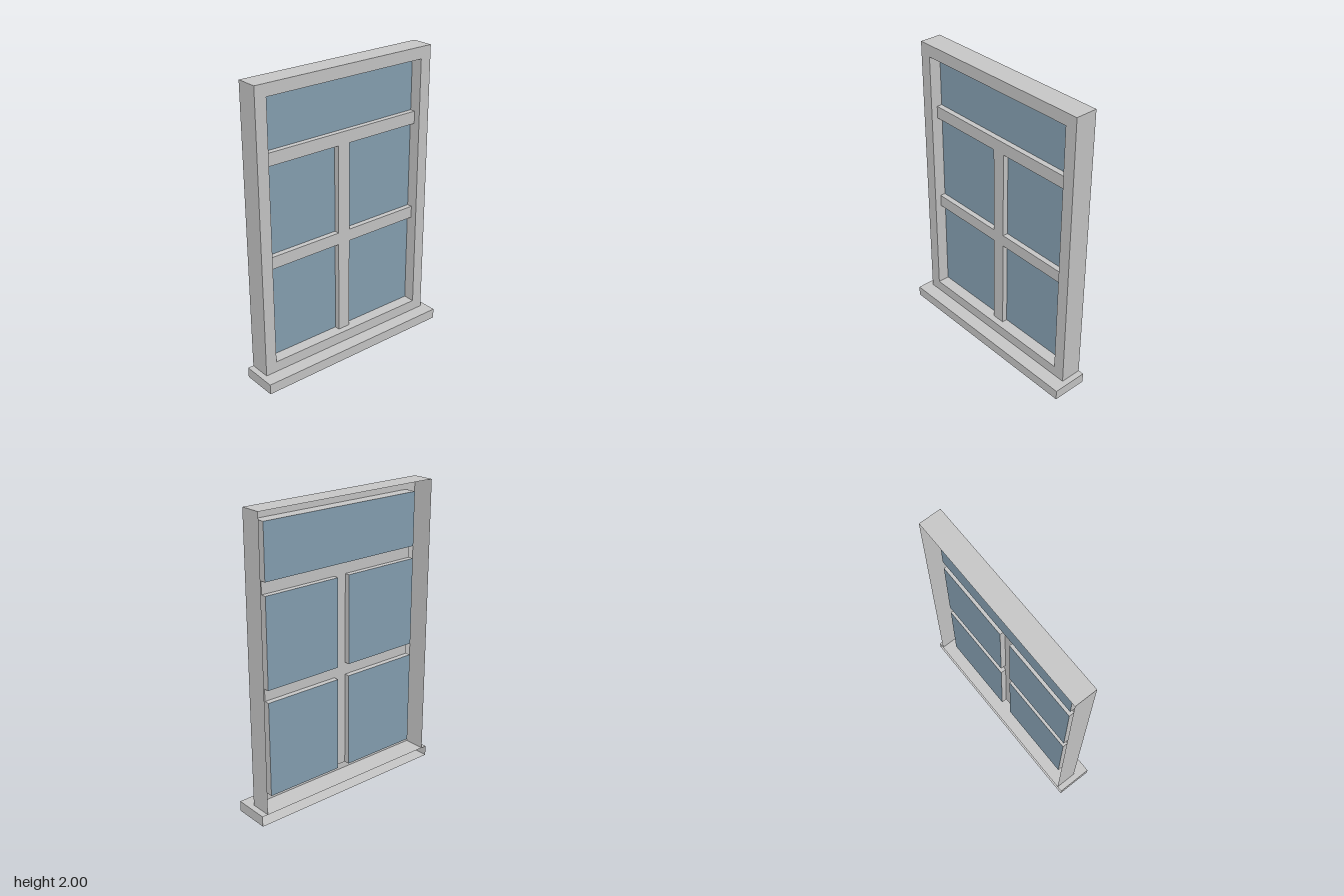
import * as THREE from 'three';
import { mergeGeometries } from 'three/addons/utils/BufferGeometryUtils.js';

const frameGrey = new THREE.MeshStandardMaterial({ color: 0xcacaca, side: THREE.DoubleSide });
frameGrey.name = 'frame grey';
const glassBlue = new THREE.MeshStandardMaterial({ color: 0x89a4b6, side: THREE.DoubleSide });
glassBlue.name = 'glass blue';

// Depths, front to back
const SILL_Z = 0.12, FACE_Z = 0.025, BAR_Z = -0.02, GLASS_Z = -0.057, BACK_Z = -0.125;

// Rectangles as [x0, x1, y0, y1]
const outer = [-0.68, 0.68, 0.07, 2];
const opening = [-0.6, 0.6, 0.143, 1.92];
const sillRect = [-0.72, 0.72, 0, 0.07];
const panes = [[-0.6, 0.6, 1.56, 1.92]];
for (const [y0, y1] of [[0.143, 0.79], [0.873, 1.475]]) {
  panes.push([-0.6, -0.045, y0, y1], [0.045, 0.6, y0, y1]);
}

const corners = ([x0, x1, y0, y1]) => [[x0, y0], [x1, y0], [x1, y1], [x0, y1]].map(([x, y]) => new THREE.Vector2(x, y));

// Flat plate facing +z, with rectangular holes
function plate(rect, z, holes = []) {
  const shape = new THREE.Shape(corners(rect));
  for (const h of holes) shape.holes.push(new THREE.Path(corners(h).reverse()));
  return new THREE.ShapeGeometry(shape).translate(0, 0, z);
}

// Thin walls around a rectangle, open at front and back
function sleeve([x0, x1, y0, y1], zBack, zFront, withBottom = true) {
  const w = x1 - x0, h = y1 - y0, d = zFront - zBack;
  const cx = (x0 + x1) / 2, cy = (y0 + y1) / 2, cz = (zFront + zBack) / 2;
  const walls = [
    new THREE.PlaneGeometry(d, h).rotateY(Math.PI / 2).translate(x1, cy, cz),
    new THREE.PlaneGeometry(d, h).rotateY(-Math.PI / 2).translate(x0, cy, cz),
    new THREE.PlaneGeometry(w, d).rotateX(-Math.PI / 2).translate(cx, y1, cz),
  ];
  if (withBottom) walls.push(new THREE.PlaneGeometry(w, d).rotateX(Math.PI / 2).translate(cx, y0, cz));
  return mergeGeometries(walls);
}

export function createModel() {
  const model = new THREE.Group();
  model.name = 'window';
  const add = (name, geometry, material = frameGrey) => {
    const mesh = new THREE.Mesh(geometry, material);
    mesh.name = name;
    model.add(mesh);
  };

  // Sill, hollow and open at the back
  add('sillFront', plate(sillRect, SILL_Z));
  add('sillWalls', sleeve(sillRect, BACK_Z, SILL_Z));

  // Outer frame, a shell open at the back and standing on the sill
  add('frameFace', plate(outer, FACE_Z, [opening]));
  add('frameWalls', sleeve(outer, BACK_Z, FACE_Z, false));
  add('frameReveal', sleeve(opening, BAR_Z, FACE_Z));

  // Glazing bars: the face left between the five panes
  const [, , mid0] = panes[1];
  const bars = [
    [-0.6, 0.6, 1.475, 1.56],
    [-0.6, 0.6, 0.79, 0.873],
    [-0.045, 0.045, mid0, 0.79],
    [-0.045, 0.045, 0.873, 1.475],
  ];
  add('glazingBars', mergeGeometries(bars.map((b) => plate(b, BAR_Z))));

  // Panes, each set back in its own pocket
  panes.forEach((rect, i) => {
    add(`paneReveal${i + 1}`, sleeve(rect, GLASS_Z, BAR_Z));
    add(`glassPane${i + 1}`, plate(rect, GLASS_Z), glassBlue);
  });
  return model;
}
